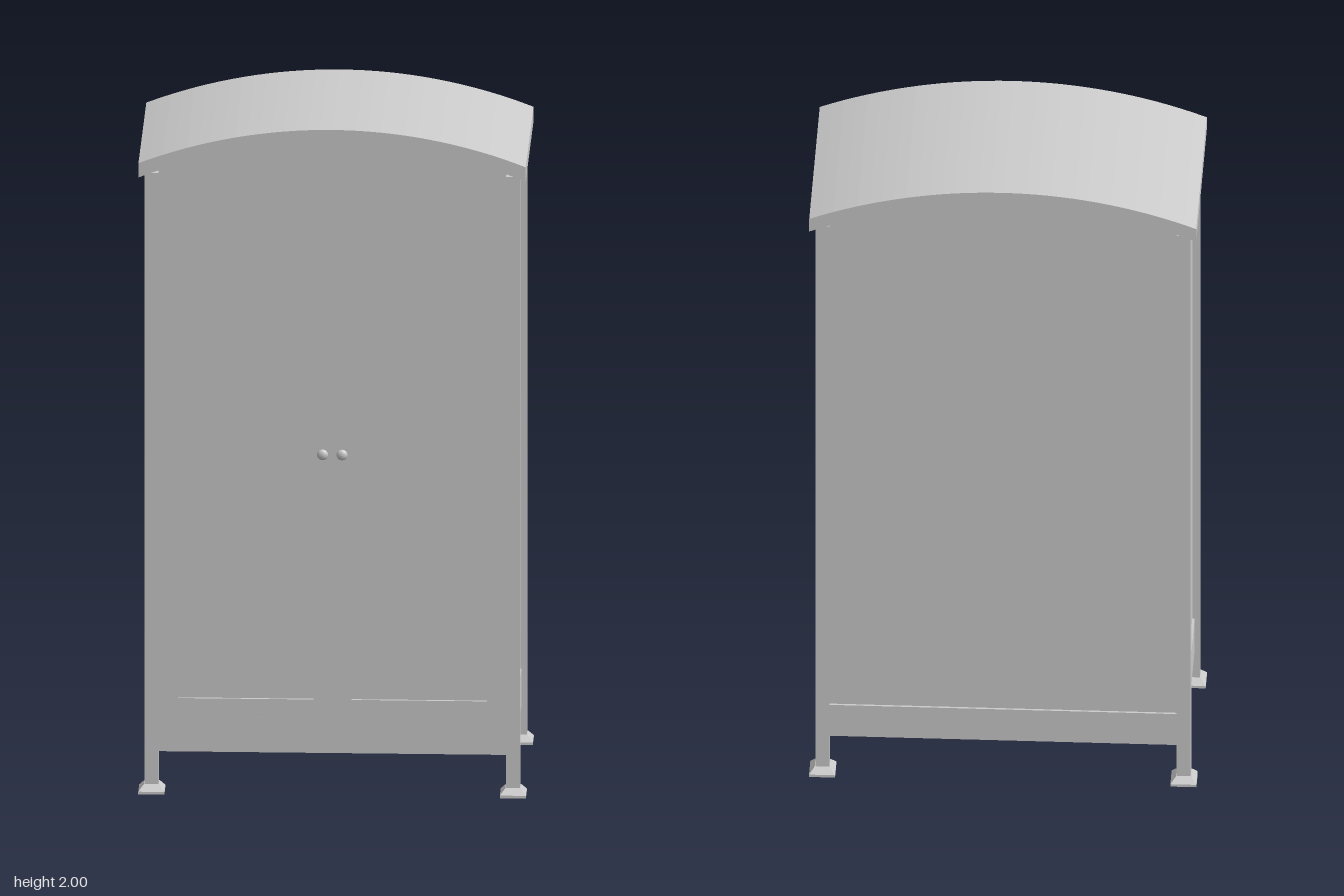
import * as THREE from 'three';

const material = new THREE.MeshStandardMaterial({ color: 0xcccccc });
const ARC_Y = 0.48; // shared centre height of every arch
const R_TOP = 1.52, R_ROOF = 1.48, R_DOOR = 1.417, R_PANEL = 1.35;
const POST_X = 0.52, POST_Z = 0.267, POST = 0.04;

function add(parent, name, geometry, x = 0, y = 0, z = 0) {
  const mesh = new THREE.Mesh(geometry, material);
  mesh.name = name;
  mesh.position.set(x, y, z);
  parent.add(mesh);
  return mesh;
}

// Points along an arch of radius r from x0 to x1
function arch(r, x0, x1, n = 32) {
  return Array.from({ length: n + 1 }, (_, i) => {
    const x = x0 + (x1 - x0) * i / n;
    return new THREE.Vector2(x, ARC_Y + Math.sqrt(r * r - x * x));
  });
}

// Outline with a flat bottom and an arched top
function archedOutline(x0, x1, bottom, r) {
  return [new THREE.Vector2(x0, bottom), new THREE.Vector2(x1, bottom), ...arch(r, x1, x0)];
}

// Outline of a curved strip between two arches
function bandOutline(x, rInner, rOuter) {
  return [...arch(rInner, -x, x), ...arch(rOuter, x, -x)];
}

// Slab of the given thickness centred on z = 0
function slab(outline, thickness, hole) {
  const shape = new THREE.Shape(outline);
  if (hole) shape.holes.push(new THREE.Path(hole));
  return new THREE.ExtrudeGeometry(shape, { depth: thickness, bevelEnabled: false })
    .translate(0, 0, -thickness / 2);
}

function createLeg(x, z) {
  const leg = new THREE.Group();
  leg.name = 'leg';
  leg.position.set(x, 0, z);
  add(leg, 'post', new THREE.BoxGeometry(POST, 1.84, POST), 0, 0.94, 0);
  add(leg, 'footPlate', new THREE.BoxGeometry(0.075, 0.008, 0.075), 0, 0.004, 0);
  // Four-sided taper from the foot plate to the post
  const taper = new THREE.CylinderGeometry(0.022 * Math.SQRT2, 0.0375 * Math.SQRT2, 0.018, 4)
    .rotateY(Math.PI / 4).toNonIndexed();
  taper.computeVertexNormals();
  add(leg, 'footTaper', taper, 0, 0.017, 0);
  return leg;
}

function createDoor(side) {
  const door = new THREE.Group();
  door.name = side > 0 ? 'leftDoor' : 'rightDoor';
  const span = (a, b) => side > 0 ? [a, b] : [-b, -a];
  const opening = archedOutline(...span(0.055, 0.445), 0.28, R_PANEL);
  add(door, 'doorFrame', slab(archedOutline(...span(0, 0.5), 0.225, R_DOOR), 0.024, opening));
  add(door, 'doorPanel', slab(opening, 0.008));
  // Round knob turned on a short stem
  const profile = [[0, 0], [0.008, 0], [0.008, 0.009], [0.014, 0.012], [0.016, 0.017], [0.013, 0.022], [0.007, 0.025], [0, 0.0255]];
  const knob = new THREE.LatheGeometry(profile.map(p => new THREE.Vector2(...p)), 24).rotateX(Math.PI / 2);
  add(door, 'knob', knob, side * 0.028, 1.02, 0.012);
  return door;
}

export function createModel() {
  const model = new THREE.Group();
  model.name = 'wardrobe';

  // Curved roof
  add(model, 'roof', slab(bandOutline(0.557, R_ROOF, R_TOP), 0.605));

  for (const x of [-1, 1]) for (const z of [-1, 1]) model.add(createLeg(x * POST_X, z * POST_Z));

  // Front and back: bottom rail and arched top rail
  for (const s of [-1, 1]) {
    const end = new THREE.Group();
    end.name = s > 0 ? 'front' : 'back';
    end.position.z = s * 0.258;
    add(end, 'bottomRail', new THREE.BoxGeometry(1, 0.105, 0.024), 0, 0.1725, 0);
    add(end, 'topRail', slab(bandOutline(0.5, R_DOOR, R_ROOF), 0.024));
    if (s > 0) end.add(createDoor(1), createDoor(-1));
    else add(end, 'backPanel', slab(archedOutline(-0.5, 0.5, 0.225, R_DOOR), 0.01));
    model.add(end);
  }

  // Sides: thin panel between two rails
  for (const s of [-1, 1]) {
    const wall = new THREE.Group();
    wall.name = s > 0 ? 'leftSide' : 'rightSide';
    wall.position.x = s * 0.513;
    const depth = 2 * POST_Z - POST;
    add(wall, 'bottomRail', new THREE.BoxGeometry(0.024, 0.105, depth), 0, 0.1725, 0);
    add(wall, 'topRail', new THREE.BoxGeometry(0.024, 0.062, depth), 0, 1.836, 0);
    add(wall, 'sidePanel', new THREE.BoxGeometry(0.01, 1.58, depth), 0, 1.015, 0);
    model.add(wall);
  }
  return model;
}
